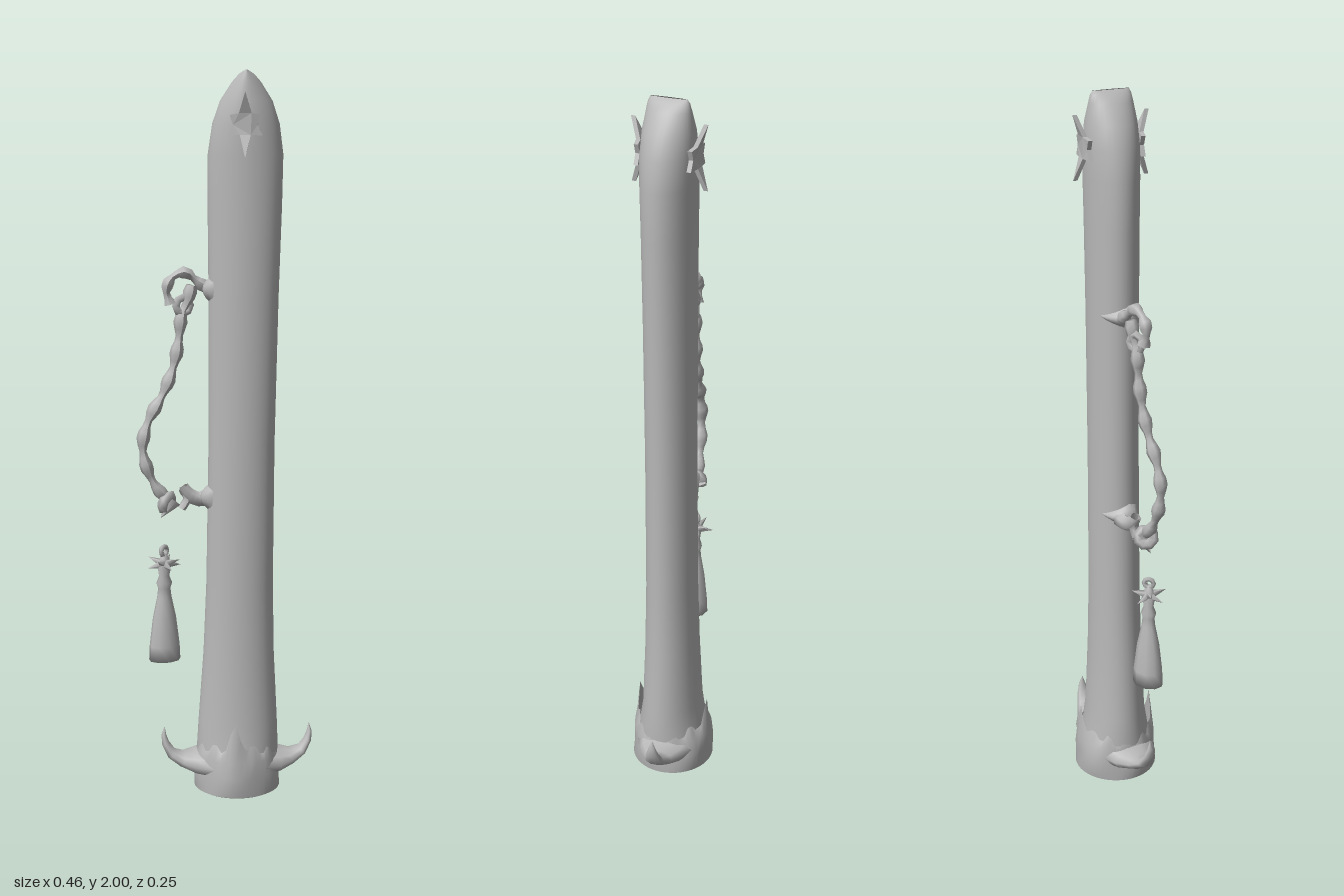
import * as THREE from 'three';

const grey = new THREE.MeshStandardMaterial({ color: 0xb8b8b8, side: THREE.DoubleSide });
grey.name = 'grey';
const { sin, cos, PI, abs, max } = Math;
const V = (x, y, z) => new THREE.Vector3(x, y, z);

function add(parent, name, geometry) {
  const m = new THREE.Mesh(geometry, grey);
  m.name = name;
  parent.add(m);
  return m;
}

// Grid of points f(i, j): rows j = 0..nv-1, columns i = 0..nu-1, optionally closed around i
function surf(nu, nv, closed, f) {
  const pos = [], idx = [];
  for (let j = 0; j < nv; j++) for (let i = 0; i < nu; i++) pos.push(...f(i, j));
  for (let j = 0; j < nv - 1; j++) for (let i = 0; i < (closed ? nu : nu - 1); i++) {
    const k = (i + 1) % nu, a = j * nu + i, b = j * nu + k, c = a + nu, d = b + nu;
    idx.push(a, c, b, b, c, d);
  }
  const g = new THREE.BufferGeometry();
  g.setAttribute('position', new THREE.Float32BufferAttribute(pos, 3));
  g.setIndex(idx);
  g.computeVertexNormals();
  return g;
}

// Tube along points whose radius follows rFn(0..1)
function rope(pts, rFn, segs, sides) {
  const curve = new THREE.CatmullRomCurve3(pts);
  const g = new THREE.TubeGeometry(curve, segs, 1, sides);
  const p = g.attributes.position, v = V();
  for (let i = 0; i < p.count; i++) {
    const t = Math.floor(i / (sides + 1)) / segs, c = curve.getPointAt(t);
    v.fromBufferAttribute(p, i).sub(c).multiplyScalar(rFn(t)).add(c);
    p.setXYZ(i, v.x, v.y, v.z);
  }
  g.computeVertexNormals();
  return g;
}

const lean = y => 0.012 * (y - 1);

// Leafy star plate whose points curl outward
function starGeometry() {
  const s = new THREE.Shape();
  const radii = [0.085, 0.035, 0.05, 0.034, 0.055, 0.03, 0.085, 0.03, 0.055, 0.034, 0.05, 0.035];
  radii.forEach((r, i) => {
    const a = PI / 2 + i * PI / 6;
    s[i ? 'lineTo' : 'moveTo'](r * cos(a) * 0.95, r * sin(a));
  });
  const g = new THREE.ExtrudeGeometry(s, { depth: 0.012, bevelEnabled: false });
  const p = g.attributes.position;
  for (let i = 0; i < p.count; i++) {
    const x = p.getX(i), y = p.getY(i);
    p.setZ(i, p.getZ(i) + 3.2 * y * y - 3 * x * x);
  }
  g.computeVertexNormals();
  return g;
}

export function createModel() {
  const model = new THREE.Group();
  const sheath = new THREE.Group();
  sheath.name = 'sheath';
  sheath.position.x = 0.033;
  sheath.rotation.y = -28 * PI / 180;
  model.add(sheath);

  // Hollow oval body: y, half width, half depth, closing to a wedge at the top
  const rings = [
    [0.01, 0.113, 0.105], [0.12, 0.115, 0.095], [0.2, 0.111, 0.082], [0.4, 0.099, 0.074],
    [0.6, 0.093, 0.069], [1.0, 0.091, 0.067], [1.4, 0.095, 0.067], [1.65, 0.1, 0.068],
    [1.78, 0.101, 0.07], [1.86, 0.09, 0.072], [1.92, 0.07, 0.068], [1.97, 0.038, 0.06],
    [1.99, 0.02, 0.056], [2.0, 0.004, 0.05]];
  add(sheath, 'sheathBody', surf(32, rings.length, true, (i, j) => {
    const [y, a, b] = rings[j], t = i / 32 * 2 * PI;
    return [a * cos(t) + lean(y), y, b * sin(t)];
  }));

  // Collar around the mouth, with a jagged, leaf-pointed upper edge
  add(sheath, 'mouthCollar', surf(48, 6, true, (i, j) => {
    const t = i / 48 * 2 * PI;
    const leaf = max(0, 1 - abs(cos(t)) * 3.2);
    const top = 0.135 + 0.07 * leaf + (i % 4 < 2 ? 0.012 : -0.008);
    const [r, y] = [[0.107, 0.03], [0.11, 0], [0.121, 0.006], [0.118 + 0.005 * sin(5 * t), 0.06],
      [0.117 + 0.006 * leaf, 0.105], [0.107 + 0.004 * leaf, top]][j];
    return [r * cos(t) + lean(0), y, r * sin(t) * (j === 5 && leaf === 0 ? 0.9 : 0.97)];
  }));

  // Upturned horns: distance, height, half width, half thickness
  const hornRows = [[0.07, 0.078, 0.088, 0.045], [0.12, 0.078, 0.068, 0.033], [0.155, 0.083, 0.044, 0.021],
    [0.186, 0.1, 0.028, 0.015], [0.203, 0.13, 0.018, 0.011], [0.208, 0.155, 0.01, 0.007], [0.206, 0.178, 0.001, 0.001]];
  const hornTilt = [0, 0, 0.3, 0.7, 1.2, 1.5, 1.5];
  for (const side of [1, -1]) {
    const horn = add(sheath, side > 0 ? 'leftHorn' : 'rightHorn', surf(10, hornRows.length, true, (i, j) => {
      const [x, y, w, h] = hornRows[j], t = i / 10 * 2 * PI, k = hornTilt[j];
      return [x - h * sin(t) * sin(k), y + h * sin(t) * cos(k), w * cos(t)];
    }));
    horn.position.x = lean(0);
    horn.rotation.y = side > 0 ? 0.12 : PI + 0.12;

    // Star ornaments near the tip, front and back
    const star = add(sheath, side > 0 ? 'frontStar' : 'backStar', starGeometry());
    star.position.set(lean(1.86), 1.858, side * 0.07);
    if (side < 0) star.rotation.y = PI;
  }

  // Pointed strap lugs wrapped around the back right of the body
  for (const [name, y0] of [['upperLug', 1.42], ['lowerLug', 0.845]]) {
    add(sheath, name, surf(7, 11, false, (i, j) => {
      const v = i / 3 - 1, u = j / 10, t = 2.5 + 1.7 * u;
      const h = 0.036 * (u < 0.3 ? 0.65 + u : 1.36 * (1 - u));
      const lift = 0.02 * (1 - v * v) * Math.min(1, (1 - u) * 2, u * 6) - 0.002;
      return [(0.094 + lift) * cos(t) + lean(y0), y0 + h * v, (0.067 + lift) * sin(t)];
    }));
  }

  // Hanging strap, lying in a slanted plane
  const path = list => list.map(([x, y]) => V(x, y, -0.045 + 0.27 * x));
  const twist = n => t => 0.0145 + 0.005 * sin(n * t);
  add(model, 'upperLoop', rope(path([[-0.045, 1.42], [-0.075, 1.445], [-0.105, 1.465], [-0.14, 1.448],
    [-0.152, 1.415], [-0.142, 1.38]]), twist(20), 12, 6));
  add(model, 'strap', rope(path([[-0.085, 1.43], [-0.095, 1.39], [-0.112, 1.35], [-0.12, 1.28], [-0.137, 1.2],
    [-0.165, 1.13], [-0.198, 1.07], [-0.218, 1.0], [-0.208, 0.93], [-0.18, 0.87], [-0.15, 0.835]]),
    twist(48), 36, 6));
  add(model, 'upperKnot', new THREE.TorusGeometry(0.022, 0.011, 5, 8)).position.set(-0.108, 1.375, -0.074);
  add(model, 'lowerLoop', rope(path([[-0.04, 0.84], [-0.07, 0.835], [-0.095, 0.85], [-0.11, 0.87]]),
    t => 0.024 - 0.008 * t, 6, 6));
  add(model, 'lowerHook', rope(path([[-0.11, 0.87], [-0.1, 0.835], [-0.115, 0.81]]), () => 0.012, 5, 5));
  const knot = add(model, 'lowerKnot', new THREE.TorusGeometry(0.02, 0.016, 5, 8));
  knot.position.set(-0.155, 0.83, -0.087);
  knot.rotation.set(0.5, 0.6, 0);
  const strapEnd = add(model, 'strapEnd', new THREE.ConeGeometry(0.026, 0.06, 5));
  strapEnd.position.set(-0.155, 0.81, -0.087);
  strapEnd.rotation.z = 2.5;

  // Tassel with a spiked bead and a hanging eye
  const tassel = new THREE.Group();
  tassel.name = 'tassel';
  tassel.position.set(-0.165, 0, -0.085);
  model.add(tassel);
  const profile = [[0, 0.385], [0.046, 0.378], [0.044, 0.42], [0.034, 0.5], [0.021, 0.56], [0.018, 0.585],
    [0.023, 0.6], [0.015, 0.62], [0.02, 0.65], [0.01, 0.68], [0, 0.685]];
  const skirt = add(tassel, 'tasselSkirt', new THREE.LatheGeometry(
    profile.map(([r, y]) => new THREE.Vector2(r, y)), 9));
  skirt.scale.z = 0.8;
  for (let i = 0; i < 8; i++) {
    const a = i / 8 * 2 * PI, dir = V(cos(a), i % 2 ? 0.35 : -0.15, sin(a)).normalize();
    const spike = add(tassel, 'beadSpike', new THREE.ConeGeometry(0.012, 0.042, 4));
    spike.position.copy(dir).multiplyScalar(0.03).add(V(0, 0.655, 0));
    spike.quaternion.setFromUnitVectors(V(0, 1, 0), dir);
  }
  const eye = add(tassel, 'tasselEye', new THREE.TorusGeometry(0.013, 0.007, 5, 8));
  eye.position.y = 0.692;
  eye.rotation.y = 0.5;

  return model;
}
